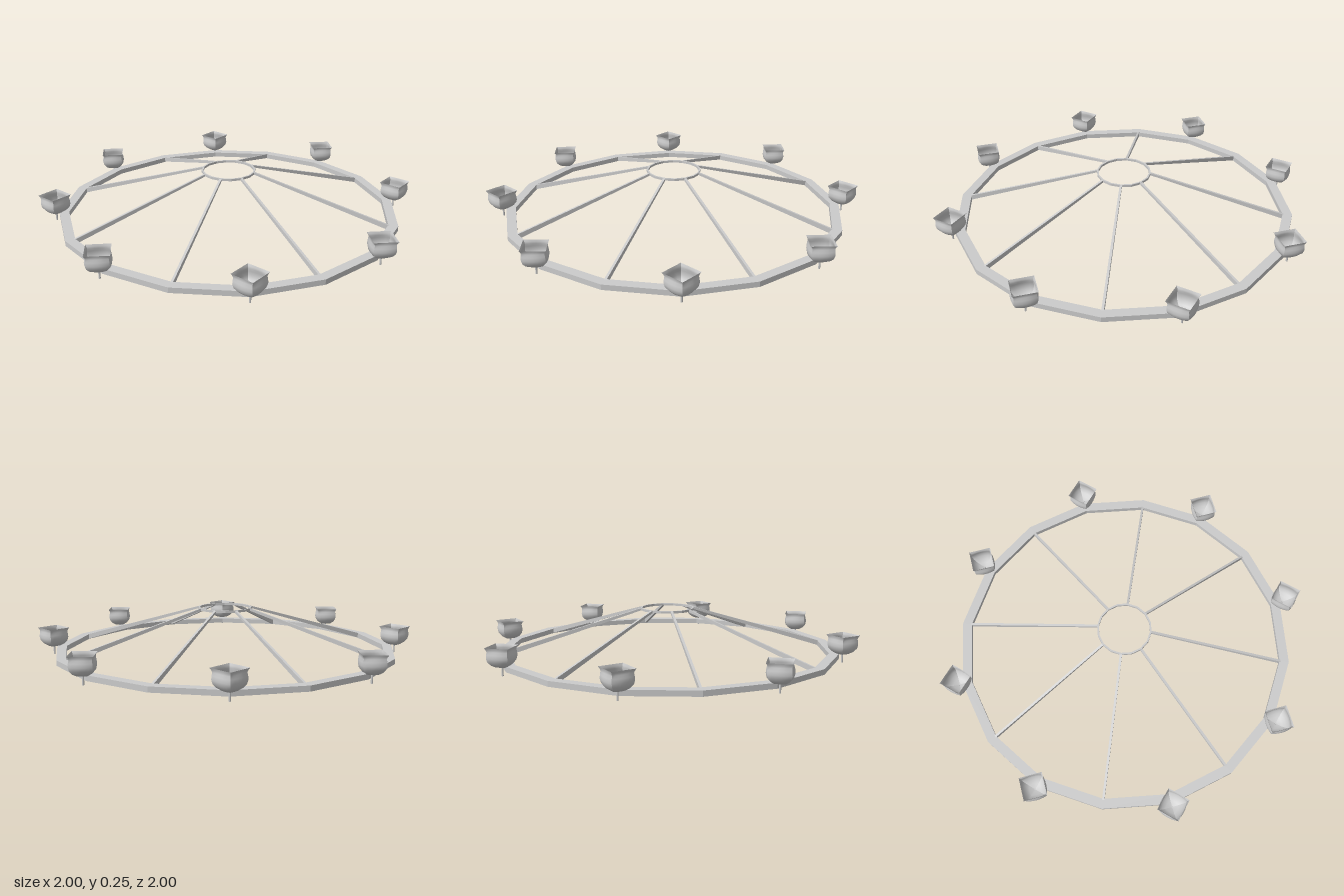
import * as THREE from 'three';

const material = new THREE.MeshStandardMaterial({ color: 0xcccccc });
const shellMaterial = new THREE.MeshStandardMaterial({ color: 0xcccccc, side: THREE.DoubleSide });
const SIDES = 16;

function addMesh(parent, name, geometry, mat = material) {
  const mesh = new THREE.Mesh(geometry, mat);
  mesh.name = name;
  parent.add(mesh);
  return mesh;
}

// Flat sixteen-sided band between two radii, from y0 to y1
function bandGeometry(outer, inner, y0, y1) {
  const loop = (r) => Array.from({ length: SIDES }, (_, i) => {
    const a = (i / SIDES) * Math.PI * 2;
    return new THREE.Vector2(r * Math.cos(a), r * Math.sin(a));
  });
  const shape = new THREE.Shape(loop(outer));
  shape.holes.push(new THREE.Path(loop(inner)));
  const geo = new THREE.ExtrudeGeometry(shape, { depth: y1 - y0, bevelEnabled: false });
  return geo.rotateX(-Math.PI / 2).translate(0, y0, 0);
}

// Sloping bar along x that grows taller towards the outer ring
function spokeGeometry() {
  const geo = new THREE.BoxGeometry(1, 1, 0.012);
  const p = geo.attributes.position;
  for (let i = 0; i < p.count; i++) {
    const outerEnd = p.getX(i) > 0;
    const top = p.getY(i) > 0;
    p.setX(i, outerEnd ? 0.855 : 0.138);
    p.setY(i, outerEnd ? (top ? 0.043 : 0.016) : (top ? 0.253 : 0.241));
  }
  geo.computeVertexNormals();
  return geo;
}

// Bowl levels from rim to base: height, half side at the corners, side bulge
const bowlLevels = [
  [0.143, 0.059, 0.000],
  [0.134, 0.054, 0.002],
  [0.124, 0.051, 0.005],
  [0.110, 0.053, 0.008],
  [0.092, 0.054, 0.009],
  [0.074, 0.050, 0.009],
  [0.058, 0.039, 0.007],
  [0.047, 0.025, 0.004],
  [0.041, 0.000, 0.000],
];

// One of the four bulging sides of a bowl, facing +z
function bowlSideGeometry() {
  const cols = 6;
  const geo = new THREE.PlaneGeometry(2, 1, cols, bowlLevels.length - 1);
  const p = geo.attributes.position;
  for (let i = 0; i < p.count; i++) {
    const t = p.getX(i);
    const [y, half, bulge] = bowlLevels[Math.floor(i / (cols + 1))];
    p.setXYZ(i, half * t, y, half + bulge * (1 - t * t));
  }
  geo.computeVertexNormals();
  return geo;
}

export function createModel() {
  const model = new THREE.Group();
  model.name = 'chandelier';

  // Large lower ring and small raised ring
  addMesh(model, 'outerRing', bandGeometry(0.9, 0.85, 0.016, 0.043));
  addMesh(model, 'hubRing', bandGeometry(0.143, 0.134, 0.241, 0.253));

  // Spokes joining the two rings
  const spokeGeo = spokeGeometry();
  for (let i = 0; i < 8; i++) {
    addMesh(model, 'spoke', spokeGeo).rotation.y = ((i + 0.5) * Math.PI) / 4;
  }

  // Candle bowls on pins around the ring, one corner pointing outwards
  const sideGeo = bowlSideGeometry();
  const pinGeo = new THREE.CylinderGeometry(0.005, 0.005, 0.046, 8).translate(0, 0.023, 0);
  for (let i = 0; i < 8; i++) {
    const arm = new THREE.Group();
    arm.name = 'candleHolder';
    arm.rotation.y = (i * Math.PI) / 4;
    model.add(arm);

    const holder = new THREE.Group();
    holder.name = 'bowl';
    holder.position.x = 0.916;
    holder.rotation.y = Math.PI / 4;
    arm.add(holder);
    for (let k = 0; k < 4; k++) {
      addMesh(holder, 'bowlSide', sideGeo, shellMaterial).rotation.y = (k * Math.PI) / 2;
    }
    addMesh(holder, 'pin', pinGeo);
  }

  return model;
}
